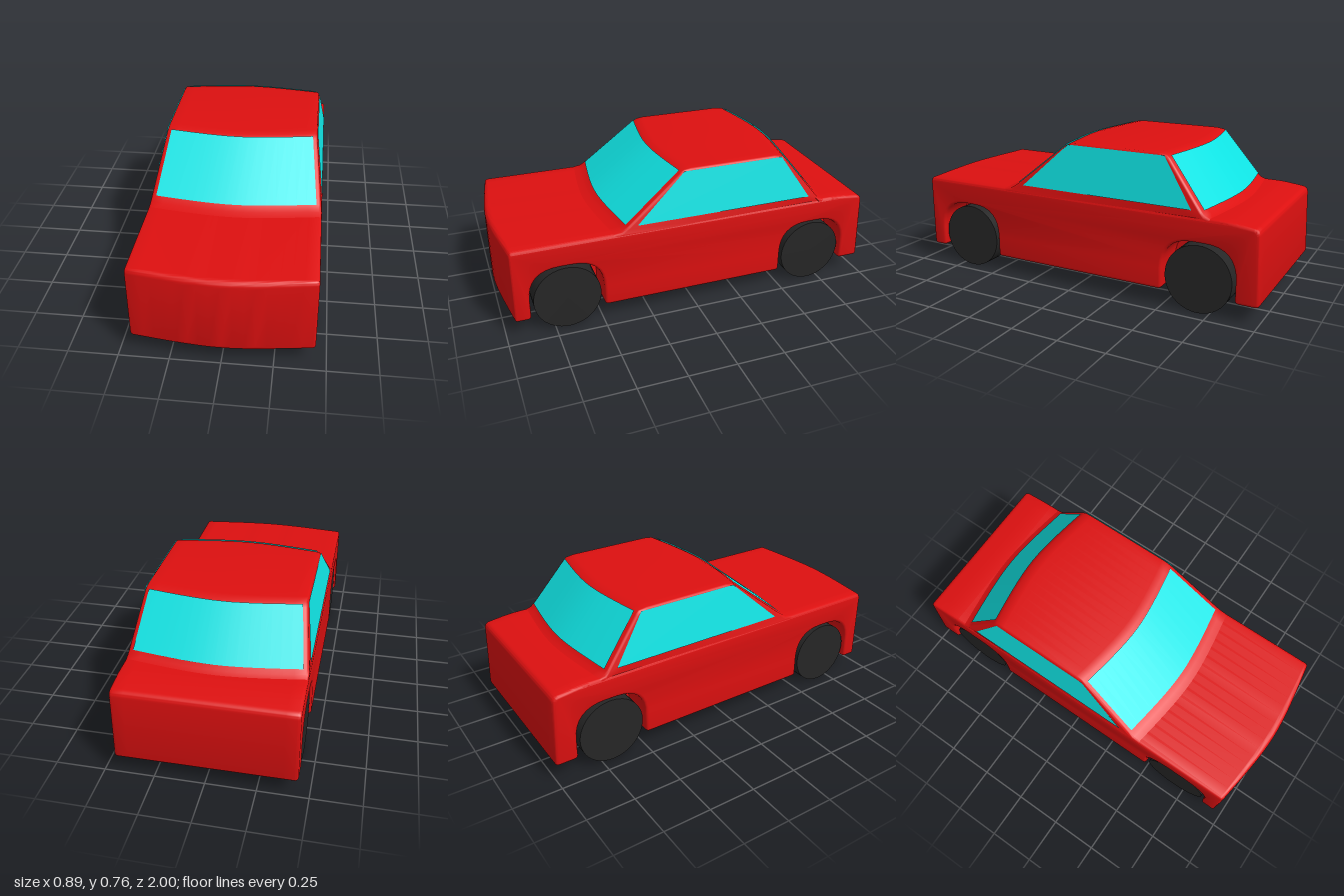
import * as THREE from 'three';
import { toCreasedNormals } from 'three/addons/utils/BufferGeometryUtils.js';

const { clamp } = THREE.MathUtils;
const HALF_WIDTH = 0.445;
const red = new THREE.MeshStandardMaterial({ color: 0xdd1010 });
const cyan = new THREE.MeshStandardMaterial({ color: 0x10e5e5, side: THREE.DoubleSide });
const black = new THREE.MeshStandardMaterial({ color: 0x262626 });

// Plan-view bow: 0 on the centre line, 1 at the sides
const bow = x => (Math.hypot(x, 0.2) - 0.2) / (Math.hypot(HALF_WIDTH, 0.2) - 0.2);

// Bows only the nose of the body
function bendBody(p) {
  p.z -= 0.05 * bow(p.x) * clamp((p.z - 0.9) / 0.1, 0, 1);
}

// Bows both ends of the cabin and leans its sides inward
function bendCabin(p) {
  p.z -= 0.05 * bow(p.x) * clamp((p.z + 0.23) / 0.28, -1, 1);
  p.x *= 1 - 0.1 * Math.max(0, (p.y - 0.485) / 0.275);
}

function deform(geometry, rule) {
  const pos = geometry.attributes.position;
  const p = new THREE.Vector3();
  for (let i = 0; i < pos.count; i++) {
    rule(p.fromBufferAttribute(pos, i));
    pos.setXYZ(i, p.x, p.y, p.z);
  }
  geometry.computeVertexNormals();
  return geometry;
}

// Side outline from [z, y, corner cut] points
function roundedShape(points) {
  const shape = new THREE.Shape();
  const v = points.map(([z, y]) => new THREE.Vector2(-z, y));
  const n = v.length;
  v.forEach((c, i) => {
    const r = points[i][2] || 0;
    const toward = q => q.clone().sub(c).setLength(r).add(c);
    const a = r ? toward(v[(i + n - 1) % n]) : c;
    if (i === 0) shape.moveTo(a.x, a.y);
    else shape.lineTo(a.x, a.y);
    if (r) {
      const b = toward(v[(i + 1) % n]);
      shape.quadraticCurveTo(c.x, c.y, b.x, b.y);
    }
  });
  return shape;
}

// Outline swept across the car with softened side edges
function sweep(points, halfWidth, bevel, rule) {
  const depth = 2 * (halfWidth - bevel);
  const geometry = new THREE.ExtrudeGeometry(roundedShape(points), {
    depth, steps: 16, curveSegments: 8,
    bevelThickness: bevel, bevelSize: bevel, bevelOffset: -bevel, bevelSegments: 3,
  });
  geometry.translate(0, 0, -depth / 2).rotateY(Math.PI / 2);
  return toCreasedNormals(deform(geometry, rule), 0.7);
}

// Glass panel from rows of points
function panel(rows, rule) {
  const cols = rows[0].length;
  const geometry = new THREE.PlaneGeometry(1, 1, cols - 1, rows.length - 1);
  rows.flat().forEach((p, i) => geometry.attributes.position.setXYZ(i, ...p));
  return deform(geometry, rule);
}

// Bowed window between two heights
function endGlass([zTop, yTop], [zLow, yLow], direction) {
  const row = (z, y) => Array.from({ length: 17 }, (_, i) =>
    [direction * 0.42 * (i / 8 - 1), y, z]);
  return panel([row(zTop, yTop), row(zLow, yLow)], bendCabin);
}

export function createModel() {
  const car = new THREE.Group();
  car.name = 'car';
  const add = (name, geometry, material) => {
    const mesh = new THREE.Mesh(geometry, material);
    mesh.name = name;
    car.add(mesh);
    return mesh;
  };

  // Lower body with wheel arches
  const arch = z => [
    [z - 0.19, 0.088, 0.02], [z - 0.19, 0.36, 0.16],
    [z + 0.19, 0.36, 0.16], [z + 0.19, 0.088, 0.02],
  ];
  add('body', sweep([
    [-1, 0.088, 0.022], ...arch(-0.69), ...arch(0.68), [1, 0.088, 0.022],
    [1, 0.486, 0.035], [-0.84, 0.486, 0.05], [-0.985, 0.468, 0.03],
  ].filter((p, i) => i !== 11 || p), HALF_WIDTH, 0.015, bendBody), red);

  // Underbody between each pair of wheels
  for (const [name, z] of [['frontUnderbody', 0.68], ['rearUnderbody', -0.69]]) {
    add(name, new THREE.BoxGeometry(0.54, 0.3, 0.42), red).position.set(0, 0.27, z);
  }

  // Cabin
  add('cabin', sweep([
    [0.5, 0.44], [0.5, 0.482], [0.44, 0.493], [0.405, 0.515],
    [0.12, 0.745], [0.095, 0.758], [0.06, 0.763],
    [-0.5, 0.763], [-0.545, 0.757], [-0.565, 0.74],
    [-0.745, 0.515], [-0.765, 0.495], [-0.8, 0.482], [-0.8, 0.44],
  ], HALF_WIDTH - 0.001, 0.012, bendCabin), red);

  // Windows
  add('windshield', endGlass([0.116, 0.755], [0.411, 0.517], 1), cyan);
  add('rearWindow', endGlass([-0.56, 0.755], [-0.751, 0.517], -1), cyan);
  for (const [name, s] of [['leftWindow', 1], ['rightWindow', -1]]) {
    const x = s * (HALF_WIDTH + 0.003);
    const top = [[x, 0.755, 0.1], [x, 0.755, -0.54]];
    const low = [[x, 0.517, 0.36], [x, 0.517, -0.7]];
    if (s < 0) { top.reverse(); low.reverse(); }
    add(name, panel([top, low], bendCabin), cyan);
  }

  // Wheels
  const wheel = new THREE.CylinderGeometry(0.173, 0.173, 0.145, 48).rotateZ(Math.PI / 2);
  for (const [end, z] of [['front', 0.68], ['rear', -0.69]]) {
    for (const [side, s] of [['Left', 1], ['Right', -1]]) {
      add(`${end}${side}Wheel`, wheel, black).position.set(s * 0.3625, 0.173, z);
    }
  }
  return car;
}
